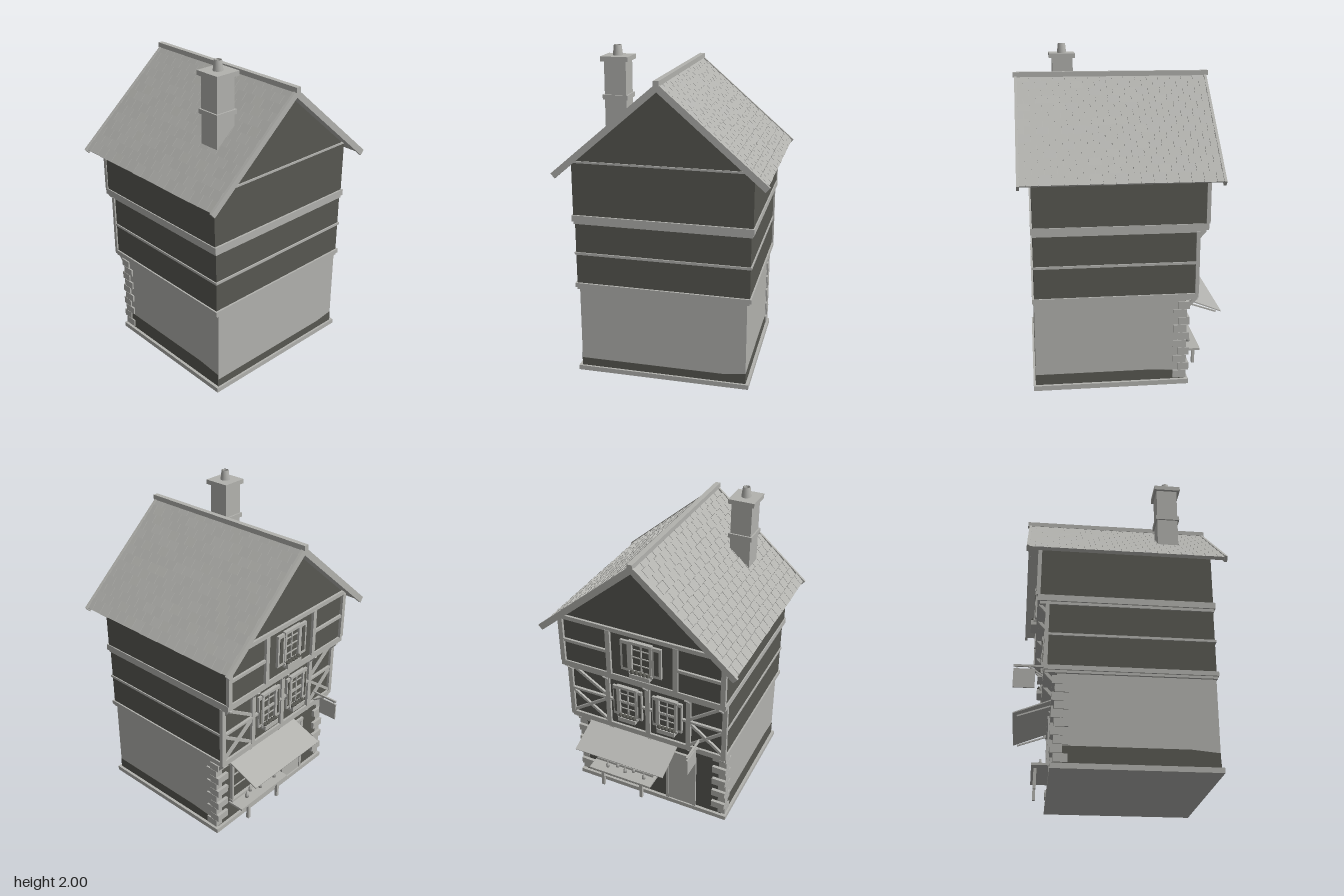
import * as THREE from 'three';
import { mergeGeometries } from 'three/addons/utils/BufferGeometryUtils.js';

export function createModel() {
  const house = new THREE.Group();
  house.name = 'timberHouse';
  const stone = new THREE.MeshStandardMaterial({ color: 0xb2b2ae });
  stone.name = 'lightGrey';
  const dark = new THREE.MeshStandardMaterial({ color: 0x585852 });
  dark.name = 'darkGrey';

  const add = (name, geometry, material = stone, parent = house) => {
    const mesh = new THREE.Mesh(geometry, material);
    mesh.name = name;
    parent.add(mesh);
    return mesh;
  };
  // Box given by its limits on each axis
  const box = (name, x0, x1, y0, y1, z0, z1, material = stone, parent = house) => {
    const mesh = add(name, new THREE.BoxGeometry(x1 - x0, y1 - y0, z1 - z0), material, parent);
    mesh.position.set((x0 + x1) / 2, (y0 + y1) / 2, (z0 + z1) / 2);
    return mesh;
  };
  // Square bar between two points
  const bar = (name, a, b, t, material = stone) => {
    const from = new THREE.Vector3(...a), to = new THREE.Vector3(...b);
    const mesh = add(name, new THREE.BoxGeometry(t, t, from.distanceTo(to)), material);
    mesh.position.copy(from).add(to).multiplyScalar(0.5);
    mesh.lookAt(to);
    return mesh;
  };

  // Storeys, each jutting further out over the street side (-x)
  box('plinth', -0.4, 0.54, 0, 0.03, -0.535, 0.535);
  box('groundFloor', -0.375, 0.525, 0.03, 0.55, -0.515, 0.515);
  box('shopFrontWall', -0.382, -0.375, 0.03, 0.55, -0.5, 0.5, dark);
  box('middleFloor', -0.435, 0.525, 0.58, 0.98, -0.53, 0.53, dark);
  box('lowerBand', -0.445, 0.53, 0.545, 0.565, -0.53, 0.53);
  box('lowerBandTop', -0.45, 0.537, 0.56, 0.587, -0.54, 0.54);
  box('middleRail', -0.452, 0.533, 0.77, 0.785, -0.537, 0.537);
  box('upperBand', -0.485, 0.53, 0.965, 0.985, -0.537, 0.537);
  box('upperBandTop', -0.5, 0.537, 0.982, 1.02, -0.547, 0.547);
  const gable = new THREE.Shape();
  gable.moveTo(-0.54, 1.01);
  [[0.54, 1.01], [0.54, 1.33], [0, 1.795], [-0.54, 1.33]].forEach(p => gable.lineTo(...p));
  const top = add('upperFloorAndGable', new THREE.ExtrudeGeometry(gable, { depth: 1.015, bevelEnabled: false }), dark);
  top.rotation.y = Math.PI / 2;
  top.position.x = -0.49;
  box('gableRail', 0.52, 0.532, 1.34, 1.352, -0.535, 0.535);
  box('streetGableRail', -0.505, -0.485, 1.325, 1.352, -0.535, 0.535);

  // Dark damp band along the foot of the walls
  const damp = (length, low, high, bend) => {
    const s = new THREE.Shape();
    s.moveTo(0, 0.03);
    [[length, 0.03], [length, high], [bend, low], [0, low]].forEach(p => s.lineTo(...p));
    return new THREE.ExtrudeGeometry(s, { depth: 0.003, bevelEnabled: false });
  };
  add('frontDampBand', damp(0.9, 0.13, 0.115, 0.74), dark).position.set(-0.375, 0, 0.514);
  const sideDamp = add('sideDampBand', damp(1.03, 0.08, 0.097, 0.9), dark);
  sideDamp.rotation.y = Math.PI / 2;
  sideDamp.position.set(0.524, 0, 0.515);
  const backDamp = add('backDampBand', damp(0.9, 0.095, 0.08, 0.7), dark);
  backDamp.rotation.y = Math.PI;
  backDamp.position.set(0.525, 0, -0.514);

  // Corner stones, long and short in turn
  for (const s of [-1, 1]) {
    for (let i = 0; i < 10; i++) {
      const y = 0.038 + i * 0.0495, long = i % 2 === 0;
      const x0 = long ? -0.385 : -0.402, x1 = long ? -0.305 : -0.335;
      const depth = long ? 0.05 : 0.09;
      box('cornerStone', x0, x1, y, y + 0.047, s > 0 ? 0.525 - depth : -0.525, s > 0 ? 0.525 : -0.525 + depth);
    }
  }

  // Lattice window on the street side, with shutters and a flower box
  const lattice = (x, y, z, w, h, rows, shutter) => {
    const g = new THREE.Group();
    g.name = 'window';
    g.position.set(x, y, z);
    house.add(g);
    box('pane', -0.004, 0.004, -h / 2, h / 2, -w / 2, w / 2, dark, g);
    for (const s of [-1, 1]) {
      box('frameSide', -0.02, 0, -h / 2, h / 2, s * w / 2 - 0.008, s * w / 2 + 0.008, stone, g);
      box('frameRail', -0.024, 0, s * h / 2 - 0.009, s * h / 2 + 0.009, -w / 2 - 0.012, w / 2 + 0.012, stone, g);
      if (shutter) {
        const c = s * (w / 2 + 0.008 + shutter / 2);
        box('shutter', -0.016, 0, -h / 2, h / 2, c - shutter / 2, c + shutter / 2, stone, g);
        box('shutterPanel', -0.018, -0.015, -h * 0.4, h * 0.4, c - shutter * 0.25, c + shutter * 0.25, dark, g);
      }
    }
    box('mullion', -0.012, 0, -h / 2, h / 2, -0.004, 0.004, stone, g);
    for (let i = 1; i < rows; i++) {
      const b = -h / 2 + (h * i) / rows;
      box('glazingBar', -0.01, 0, b - 0.003, b + 0.003, -w / 2, w / 2, stone, g);
    }
    if (!shutter) return;
    box('flowerBox', -0.04, 0, -h / 2 - 0.03, -h / 2, -w / 2, w / 2, stone, g);
    for (let i = 0; i < 5; i++) {
      const plant = add('plant', new THREE.IcosahedronGeometry(0.016, 0), dark, g);
      plant.position.set(-0.024, -h / 2 + 0.006, (i - 2) * w / 5);
    }
  };
  lattice(-0.44, 0.785, -0.12, 0.12, 0.22, 4, 0.032);
  lattice(-0.44, 0.785, 0.15, 0.12, 0.22, 4, 0.032);
  lattice(-0.495, 1.19, 0.01, 0.13, 0.21, 4, 0.06);
  lattice(-0.384, 0.32, -0.19, 0.4, 0.28, 3, 0);

  // Timber frame of the street side
  for (const z of [-0.525, -0.26, 0.015, 0.29, 0.525]) box('middlePost', -0.452, -0.43, 0.585, 0.97, z - 0.015, z + 0.015);
  for (const z of [-0.53, -0.21, 0.23, 0.53]) box('upperPost', -0.508, -0.485, 1.02, 1.33, z - 0.015, z + 0.015);
  for (const s of [-1, 1]) {
    const inner = s < 0 ? -0.26 : 0.29, outer = s * 0.525;
    bar('crossBrace', [-0.44, 0.59, inner], [-0.44, 0.77, outer], 0.018);
    bar('crossBrace', [-0.441, 0.77, inner], [-0.441, 0.59, outer], 0.018);
    bar('slantBrace', [-0.44, 0.79, inner], [-0.44, 0.96, outer], 0.018);
    box('upperRail', -0.504, -0.485, 1.165, 1.185, Math.min(s * 0.22, s * 0.53), Math.max(s * 0.22, s * 0.53));
  }
  // Brackets under the jutting floors
  for (const z of [-0.51, -0.26, 0.015, 0.29, 0.51]) {
    bar('upperBracket', [-0.44, 0.92, z], [-0.485, 0.97, z], 0.018);
    bar('lowerBracket', [-0.385, 0.49, z], [-0.44, 0.55, z], 0.018);
  }

  // Shop front: door, awning, stall and hanging sign
  box('door', -0.39, -0.38, 0.03, 0.42, 0.13, 0.3);
  for (const z of [0.12, 0.31]) box('doorPost', -0.396, -0.38, 0.03, 0.435, z - 0.01, z + 0.01);
  box('doorLintel', -0.398, -0.38, 0.425, 0.445, 0.11, 0.32);
  const awning = add('awning', new THREE.BoxGeometry(0.255, 0.007, 0.62));
  awning.position.set(-0.497, 0.467, -0.115);
  awning.rotation.z = Math.atan2(0.09, 0.23);
  for (const z of [-0.4, 0.17]) bar('awningStrut', [-0.385, 0.482, z], [-0.59, 0.41, z], 0.009);
  box('stallTop', -0.495, -0.38, 0.158, 0.172, -0.41, 0.04);
  for (const z of [-0.32, -0.035]) box('stallLeg', -0.48, -0.462, 0.035, 0.16, z - 0.01, z + 0.01);
  const bottle = new THREE.LatheGeometry([[0, 0], [0.012, 0], [0.012, 0.022], [0.005, 0.03], [0.005, 0.042], [0, 0.042]]
    .map(p => new THREE.Vector2(...p)), 8);
  [-0.3, -0.24, -0.17, -0.12, -0.03].forEach((z, i) => add('bottle', bottle).position.set(-0.44 + (i % 2) * 0.025, 0.172, z));
  box('signArm', -0.62, -0.43, 0.643, 0.655, 0.354, 0.366);
  bar('signStay', [-0.44, 0.585, 0.36], [-0.53, 0.645, 0.36], 0.008);
  box('signBoard', -0.62, -0.495, 0.515, 0.63, 0.355, 0.365);
  for (const x of [-0.6, -0.515]) box('signHanger', x - 0.002, x + 0.002, 0.625, 0.645, 0.358, 0.362);

  // Roof: each slope carries staggered rows of slightly uneven tiles
  let seed = 7;
  const rand = () => (seed = (seed * 16807) % 2147483647) / 2147483647;
  const rows = 14, length = 0.82, tileWidth = 0.0717;
  for (const s of [-1, 1]) {
    const side = new THREE.Group();
    side.name = 'roofSide';
    side.rotation.y = s > 0 ? 0 : Math.PI;
    house.add(side);
    const slope = new THREE.Group();
    slope.name = 'roofSlope';
    slope.position.y = 1.832;
    slope.rotation.x = 0.71;
    side.add(slope);
    const mid = s * 0.015, x0 = mid - 0.575, x1 = mid + 0.575;
    box('roofDeck', x0, x1, -0.026, -0.008, 0, length, stone, slope);
    const tiles = [];
    for (let r = 0; r < rows; r++) {
      const step = length / rows;
      for (let x = x0 - (r % 2) * tileWidth / 2; x < x1 - 0.001; x += tileWidth) {
        const a = Math.max(x, x0), b = Math.min(x + tileWidth - 0.003, x1);
        if (b - a < 0.005) continue;
        const tile = new THREE.BoxGeometry(b - a, 0.007, step + 0.012);
        tile.rotateX(0.07 + rand() * 0.04);
        tile.translate((a + b) / 2, -0.005, (r + 0.5) * step + rand() * 0.003);
        tiles.push(tile);
      }
    }
    add('roofTiles', mergeGeometries(tiles), stone, slope);
    for (const e of [-1, 1]) {
      const x = mid + e * 0.583;
      box('bargeBoard', x - 0.008, x + 0.008, -0.034, 0.004, 0, 0.836, stone, slope);
    }
  }
  box('ridgeCap', -0.585, 0.615, 1.82, 1.85, -0.016, 0.016);

  // Chimney
  box('chimneyStack', 0.235, 0.365, 1.5, 1.92, 0.245, 0.375);
  box('chimneyBand', 0.225, 0.375, 1.69, 1.718, 0.235, 0.385);
  box('chimneyCap', 0.22, 0.385, 1.912, 1.94, 0.227, 0.392);
  const pot = add('chimneyPot', new THREE.LatheGeometry([[0.03, 0], [0.023, 0.06], [0.017, 0.06], [0.017, 0.005], [0, 0.005]]
    .map(p => new THREE.Vector2(...p)), 12));
  pot.position.set(0.302, 1.94, 0.31);
  return house;
}
